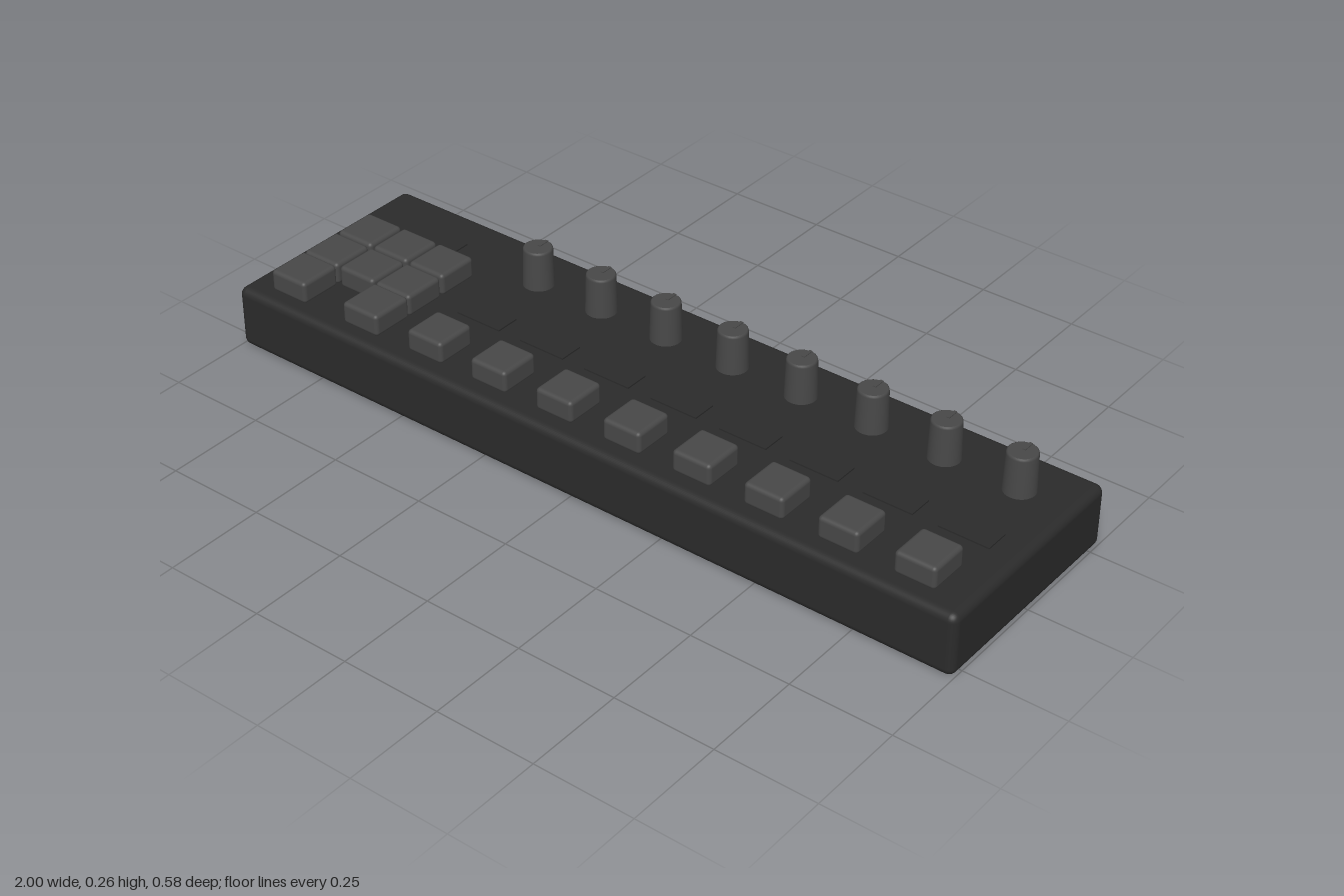
import * as THREE from 'three';
import { RoundedBoxGeometry } from 'three/addons/geometries/RoundedBoxGeometry.js';

const caseMat = new THREE.MeshStandardMaterial({ color: 0x2b2b2b });
caseMat.name = 'charcoal case';
const keyMat = new THREE.MeshStandardMaterial({ color: 0x484848 });
keyMat.name = 'grey controls';

const CASE_TOP = 0.158;

export function createModel() {
  const group = new THREE.Group();
  group.name = 'controlSurface';

  const add = (name, geometry, material, x, y, z) => {
    const mesh = new THREE.Mesh(geometry, material);
    mesh.name = name;
    mesh.position.set(x, y, z);
    group.add(mesh);
    return mesh;
  };

  // Case with softly rounded edges
  add('case', new RoundedBoxGeometry(2, CASE_TOP, 0.58, 4, 0.02), caseMat, 0, CASE_TOP / 2, 0);

  // Shared control shapes
  const padKey = new RoundedBoxGeometry(0.106, 0.056, 0.11, 3, 0.01);
  const channelKey = new RoundedBoxGeometry(0.102, 0.056, 0.106, 3, 0.01);
  const labelPlate = new THREE.BoxGeometry(0.126, 0.006, 0.062);
  const pointer = new THREE.BoxGeometry(0.008, 0.003, 0.03);
  const side = (points) => new THREE.LatheGeometry(points.map(([r, y]) => new THREE.Vector2(r, y)), 32);
  const knobBody = side([[0.038, 0], [0.0355, 0.094], [0.0345, 0.0985], [0.032, 0.1]]);
  const knobTop = new THREE.CircleGeometry(0.032, 32).rotateX(-Math.PI / 2);

  // Navigation pad: three by three without the middle front key
  const rows = [-0.033, 0.082, 0.192];
  const columns = [-0.875, -0.762, -0.649];
  rows.forEach((z, r) => columns.forEach((x, c) => {
    if (r === 2 && c === 1) return;
    add('padKey', padKey, keyMat, x, 0.184, z);
  }));
  add('padLabel', labelPlate, caseMat, -0.765, CASE_TOP + 0.001, -0.155);

  // Eight channels, each with a knob, a label plate and a key
  for (let i = 0; i < 8; i++) {
    const x = -0.457 + i * 0.189;
    add('channelKey', channelKey, keyMat, x, 0.184, 0.188);
    add('channelLabel', labelPlate, caseMat, x, CASE_TOP + 0.001, 0.026);
    add('knob', knobBody, keyMat, x, CASE_TOP, -0.16);
    add('knobTop', knobTop, keyMat, x, CASE_TOP + 0.1, -0.16);
    add('knobPointer', pointer, keyMat, x, CASE_TOP + 0.1005, -0.178);
  }

  return group;
}
